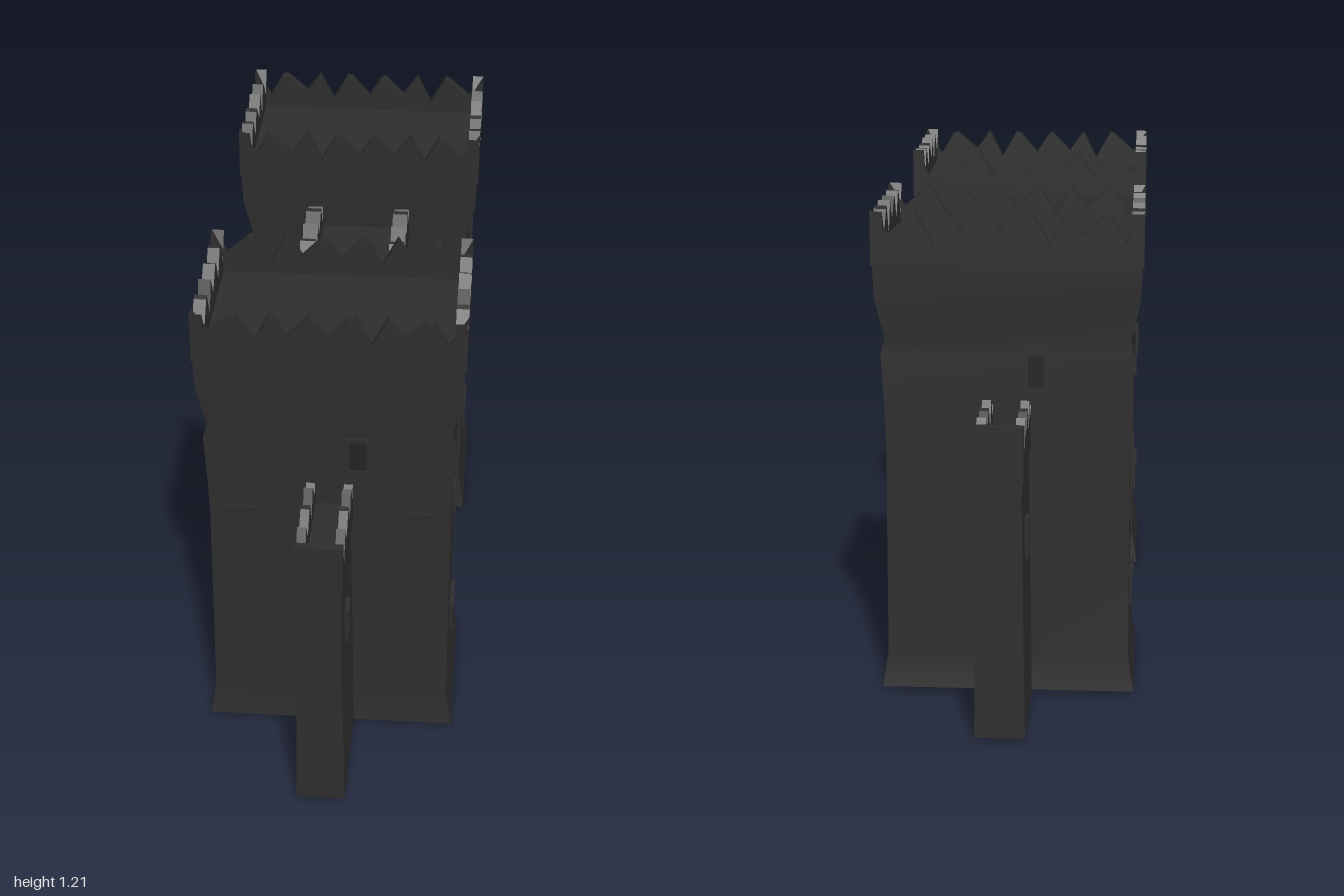
import * as THREE from 'three';

const stone = new THREE.MeshStandardMaterial({ color: 0x2d2d2d });
stone.name = 'dark stone';
const shade = new THREE.MeshStandardMaterial({ color: 0x222222 });
shade.name = 'deep stone';

function add(parent, name, geometry, material = stone) {
  const mesh = new THREE.Mesh(geometry, material);
  mesh.name = name;
  parent.add(mesh);
  return mesh;
}

// Rectangular column through rings of [y, half width x, half depth z]
function loft(rings) {
  const n = rings.length - 1;
  const geo = new THREE.BoxGeometry(2, 1, 2, 1, n, 1);
  const p = geo.attributes.position;
  for (let i = 0; i < p.count; i++) {
    const [y, hx, hz] = rings[Math.round((p.getY(i) + 0.5) * n)];
    p.setXYZ(i, p.getX(i) * hx, y, p.getZ(i) * hz);
  }
  geo.computeVertexNormals();
  return geo;
}

function extrude(shape, depth) {
  const geo = new THREE.ExtrudeGeometry(shape, { depth, bevelEnabled: false, curveSegments: 10 });
  return geo.translate(0, 0, -depth / 2);
}

// Jagged parapet along x, with uneven pointed merlons
function parapet(length, bottom, valley, peak, teeth, thick) {
  const s = new THREE.Shape();
  const half = length / 2, step = length / teeth;
  s.moveTo(-half, bottom);
  s.lineTo(half, bottom);
  s.lineTo(half, peak);
  for (let i = 0; i < teeth; i++) {
    const x = half - i * step;
    const wob = Math.sin(i * 2.3 + length * 9);
    s.lineTo(x - step * (0.5 + 0.1 * wob), valley + 0.012 * wob);
    const end = i === teeth - 1;
    if (!end) s.lineTo(x - step * 0.85, peak - 0.012 - 0.01 * wob);
    s.lineTo(x - step, end ? peak : peak - 0.004 + 0.004 * wob);
  }
  return extrude(s, thick);
}

// Four parapets around a rectangle
function battlements(parent, hx, hz, bottom, valley, peak, nx, nz, thick) {
  for (const side of [-1, 1]) {
    const a = add(parent, 'battlementLong', parapet(hx * 2, bottom, valley, peak, nx, thick));
    a.position.z = side * (hz - thick / 2);
    const b = add(parent, 'battlementShort', parapet(hz * 2, bottom, valley, peak, nz, thick));
    b.rotation.y = Math.PI / 2;
    b.position.x = side * (hx - thick / 2);
  }
}

// Framed window facing local +z, turned by angle
function windowAt(parent, x, y, z, w, h, angle) {
  const g = new THREE.Group();
  g.name = 'window';
  const frame = new THREE.Shape();
  const rect = (path, a, b) => path.moveTo(-a, -b).lineTo(a, -b).lineTo(a, b).lineTo(-a, b);
  rect(frame, w / 2, h / 2);
  const hole = new THREE.Path();
  rect(hole, w / 2 - 0.01, h / 2 - 0.01);
  frame.holes.push(hole);
  add(g, 'windowFrame', extrude(frame, 0.016));
  add(g, 'windowPane', new THREE.BoxGeometry(w - 0.02, h - 0.02, 0.006), shade);
  g.position.set(x, y, z);
  g.rotation.y = angle;
  parent.add(g);
}

function createTower() {
  const tower = new THREE.Group();
  tower.name = 'tower';
  add(tower, 'towerBody', loft([
    [0.01, 0.312, 0.208], [0.1, 0.298, 0.195], [0.64, 0.296, 0.192],
    [0.74, 0.299, 0.195], [0.86, 0.306, 0.197], [0.9, 0.296, 0.194],
    [1.0, 0.318, 0.206], [1.11, 0.323, 0.208],
  ]));
  battlements(tower, 0.325, 0.21, 1.08, 1.145, 1.21, 7, 5, 0.03);

  // Windows and arrow slits on each flank
  for (const s of [-1, 1]) {
    const turn = s * Math.PI / 2;
    windowAt(tower, s * 0.297, 0.57, -0.02, 0.045, 0.08, turn);
    windowAt(tower, s * 0.304, 0.85, -0.05, 0.03, 0.07, turn);
    windowAt(tower, s * 0.297, 0.23, 0, 0.03, 0.12, turn);
    const arm = add(tower, 'slitLedge', new THREE.BoxGeometry(0.016, 0.018, 0.1));
    arm.position.set(s * 0.3, 0.27, 0);
    // Sloping ledges on the outer face
    const ledge = add(tower, 'ledge', new THREE.BoxGeometry(0.08, 0.014, 0.014));
    ledge.position.set(s * 0.22, 0.655, 0.192);
  }
  windowAt(tower, 0.07, 0.825, 0.197, 0.06, 0.1, 0);
  return tower;
}

function createSideWall() {
  const wall = new THREE.Group();
  wall.name = 'sideWall';
  add(wall, 'sideWallBody', loft([
    [0.01, 0.06, 0.17], [0.3, 0.056, 0.168], [0.6, 0.052, 0.166], [0.68, 0.056, 0.167],
  ]));
  for (const s of [-1, 1]) {
    const p = add(wall, 'wallBattlement', parapet(0.335, 0.64, 0.71, 0.77, 4, 0.022));
    p.rotation.y = Math.PI / 2;
    p.position.x = s * 0.046;
    windowAt(wall, s * 0.055, 0.47, 0.04, 0.06, 0.09, s * Math.PI / 2);
  }
  // Solid end merlon closing the wall walk
  add(wall, 'endMerlon', new THREE.BoxGeometry(0.114, 0.12, 0.022)).position.set(0, 0.71, 0.156);
  return wall;
}

function createGatehouse() {
  const gate = new THREE.Group();
  gate.name = 'gatehouse';
  // Wall with an arched passage
  const s = new THREE.Shape();
  s.moveTo(0.31, 0).lineTo(0.31, 0.93).lineTo(-0.31, 0.93).lineTo(-0.31, 0).lineTo(-0.19, 0).lineTo(-0.19, 0.47);
  s.absarc(0, 0.47, 0.19, Math.PI, 0, true);
  s.lineTo(0.19, 0);
  add(gate, 'gateWall', extrude(s, 0.25)).rotation.y = Math.PI / 2;

  // Recessed door filling the passage
  add(gate, 'gateDoor', new THREE.BoxGeometry(0.16, 0.66, 0.39)).position.y = 0.33;
  add(gate, 'threshold', new THREE.BoxGeometry(0.27, 0.012, 0.6)).position.y = 0.006;

  // Raised ring round the arch
  const ring = new THREE.Shape();
  ring.absarc(0, 0.47, 0.225, 0, Math.PI, false);
  ring.absarc(0, 0.47, 0.19, Math.PI, 0, true);
  // Broken portcullis hanging under the arch
  const grate = new THREE.Shape();
  grate.absarc(0, 0.47, 0.19, 0.35, Math.PI - 0.35, false);
  for (let i = 1; i < 8; i++) grate.lineTo(-0.178 + i * 0.0445, i % 2 ? 0.58 : 0.525);

  for (const side of [-1, 1]) {
    const r = add(gate, 'archRing', extrude(ring, 0.014));
    const g = add(gate, 'portcullis', extrude(grate, 0.02));
    const p = add(gate, 'gateBattlement', parapet(0.6, 0.86, 0.96, 1.02, 7, 0.04));
    r.rotation.y = g.rotation.y = p.rotation.y = Math.PI / 2;
    r.position.x = side * 0.128;
    g.position.x = side * 0.095;
    p.position.x = side * 0.118;
  }
  return gate;
}

export function createModel() {
  const castle = new THREE.Group();
  castle.name = 'castleGate';
  castle.add(createGatehouse());
  // Matching tower and side wall at each end
  for (const angle of [0, Math.PI]) {
    const wing = new THREE.Group();
    wing.name = angle ? 'backWing' : 'frontWing';
    const tower = createTower();
    tower.position.z = 0.49;
    const wall = createSideWall();
    wall.position.z = 0.83;
    wing.add(tower, wall);
    wing.rotation.y = angle;
    castle.add(wing);
  }
  return castle;
}
